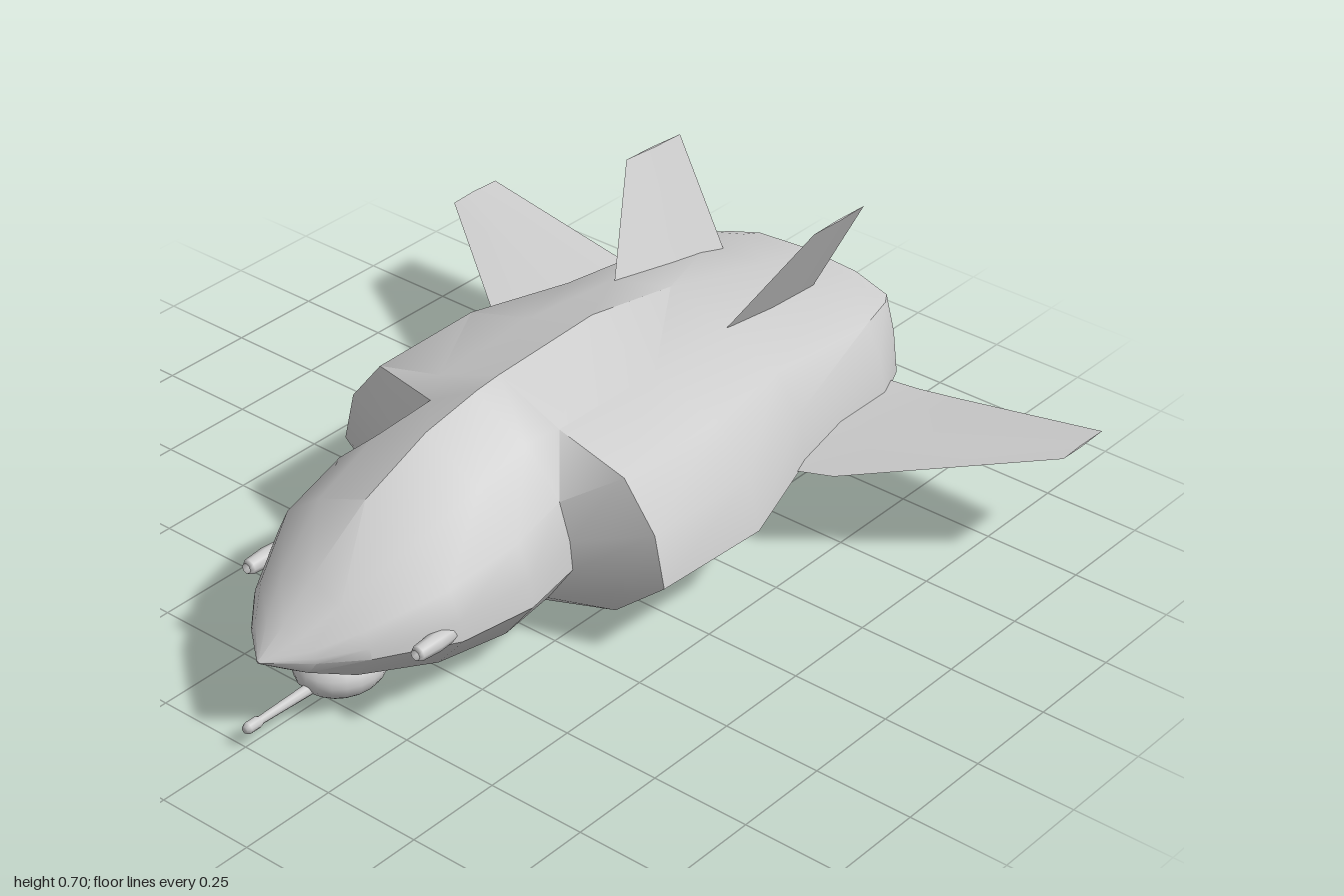
import * as THREE from 'three';
import { toCreasedNormals } from 'three/addons/utils/BufferGeometryUtils.js';

const grey = new THREE.MeshStandardMaterial({ color: 0xcccccc });

function add(parent, name, geometry, x = 0, y = 0, z = 0) {
  const mesh = new THREE.Mesh(geometry, grey);
  mesh.name = name;
  mesh.position.set(x, y, z);
  parent.add(mesh);
  return mesh;
}

// Skin closed rings of [x, y, z] points and cap both ends.
function loft(rings, crease = 0.65) {
  const n = rings[0].length, last = rings.length - 1;
  const pos = rings.flat(2), index = [];
  for (let i = 0; i < last; i++) {
    for (let j = 0; j < n; j++) {
      const a = i * n + j, b = i * n + (j + 1) % n;
      index.push(a, b, a + n, b, b + n, a + n);
    }
  }
  for (const i of [0, last]) {
    const c = pos.length / 3;
    for (let k = 0; k < 3; k++) pos.push(rings[i].reduce((s, p) => s + p[k], 0) / n);
    for (let j = 0; j < n; j++) {
      const a = i * n + j, b = i * n + (j + 1) % n;
      if (i === 0) index.push(c, b, a);
      else index.push(c, a, b);
    }
  }
  const g = new THREE.BufferGeometry();
  g.setAttribute('position', new THREE.Float32BufferAttribute(pos, 3));
  g.setIndex(index);
  return toCreasedNormals(g, crease);
}

// Mirror rings to the other side, reversing order to keep faces outward.
const onSide = (rings, s) => s > 0 ? rings
  : rings.map(r => r.map(([x, y, z]) => [-x, y, z]).reverse());

// Complete a half section (top to bottom) into a full ring.
const fullRing = (half, z) => [
  ...half.map(([x, y]) => [x, y, z]),
  ...half.slice(1, -1).reverse().map(([x, y]) => [-x, y, z]),
];

function fuselageRings() {
  // Forebody: one unit section scaled by half width, top and bottom.
  const unit = [[0, 1], [0.5, 0.77], [0.86, 0.46], [0.97, 0.2], [1, 0], [0.74, -0.6], [0, -1]];
  const fore = [ // z, half width, top, bottom
    [0.95, 0.004, 0.203, 0.197],
    [0.87, 0.1, 0.255, 0.14],
    [0.78, 0.18, 0.33, 0.095],
    [0.6, 0.285, 0.45, 0.05],
    [0.4, 0.315, 0.53, 0.02],
    [0.23, 0.285, 0.56, 0.018],
  ].map(([z, w, top, low]) => fullRing(
    unit.map(([u, v]) => [u * w, 0.2 + v * (v > 0 ? top - 0.2 : 0.2 - low)]), z));
  // Main body: starts at the intake lips, ends at the chamfered tail.
  const main = [
    [0.155, [0, 0.567], [0.18, 0.495], [0.37, 0.445], [0.46, 0.33], [0.49, 0.2], [0.35, 0.08], [0, 0.02]],
    [-0.17, [0, 0.58], [0.19, 0.5], [0.375, 0.445], [0.47, 0.33], [0.505, 0.2], [0.36, 0.085], [0, 0.035]],
    [-0.46, [0, 0.53], [0.18, 0.48], [0.32, 0.42], [0.39, 0.33], [0.415, 0.21], [0.33, 0.1], [0, 0.063]],
    [-0.83, [0, 0.435], [0.18, 0.42], [0.31, 0.38], [0.355, 0.3], [0.375, 0.2], [0.3, 0.155], [0, 0.13]],
    [-0.96, [0, 0.413], [0.17, 0.4], [0.27, 0.37], [0.3, 0.3], [0.315, 0.19], [0.28, 0.17], [0, 0.157]],
    [-1, [0, 0.405], [0.15, 0.395], [0.245, 0.365], [0.26, 0.29], [0.265, 0.2], [0.25, 0.175], [0, 0.165]],
  ].map(([z, ...half]) => fullRing(half, z));
  return [...fore, ...main];
}

// Wing stations: x, leading z, trailing z, edge height, half thickness.
const wingRings = [
  [0.3, -0.4, -0.9, 0.2, 0.025],
  [0.42, -0.41, -0.9, 0.212, 0.024],
  [0.52, -0.43, -0.9, 0.228, 0.021],
  [0.945, -0.74, -0.9, 0.304, 0.003],
].map(([x, le, te, y, t]) => {
  const mid = le + (te - le) * 0.45;
  return [[x, y, le], [x, y - t, mid], [x, y, te], [x, y + t, mid]];
});

// Fin sections from the sunken root to the tip, canted outward.
const finX = y => 0.17 + (y - 0.48) * 0.52;
const finRings = [
  [[0.46, -0.44], [0.39, -0.84], 0.007],
  [[0.7, -0.635], [0.692, -0.835], 0.003],
].map(([[yf, zf], [yb, zb], t]) => {
  const ym = (yf + yb) / 2, zm = (zf + zb) / 2;
  return [[finX(yf), yf, zf], [finX(ym) + t, ym, zm], [finX(yb), yb, zb], [finX(ym) - t, ym, zm]];
});

// Turned part whose axis points along z; profile holds [radius, z].
function turned(profile, sides) {
  const g = new THREE.LatheGeometry(profile.map(([r, z]) => new THREE.Vector2(r, z)), sides);
  return g.rotateX(Math.PI / 2);
}

export function createModel() {
  const model = new THREE.Group();
  model.name = 'aircraft';

  add(model, 'fuselage', loft(fuselageRings()));

  for (const s of [1, -1]) {
    const side = s > 0 ? 'left' : 'right';
    add(model, side + 'Wing', loft(onSide(wingRings, s), 0.4));
    add(model, side + 'TailFin', loft(onSide(finRings, s), 0.4));
    // Small sensor pod on the cheek
    add(model, side + 'Pod', turned(
      [[0, 0.58], [0.02, 0.61], [0.023, 0.66], [0.019, 0.715], [0.013, 0.725], [0.01, 0.71], [0, 0.71]], 8),
      s * 0.257, 0.217, 0);
  }

  // Chin turret with a forward gun
  const turret = new THREE.Group();
  turret.name = 'chinTurret';
  model.add(turret);
  add(turret, 'turretDome', new THREE.SphereGeometry(1, 20, 12).scale(0.105, 0.066, 0.115), 0, 0.066, 0.695);
  add(turret, 'gunBarrel', turned(
    [[0, 0.7], [0.017, 0.7], [0.01, 0.95], [0.014, 0.96], [0.014, 0.99], [0.009, 1], [0, 1]], 10), 0, 0.046, 0);

  return model;
}
